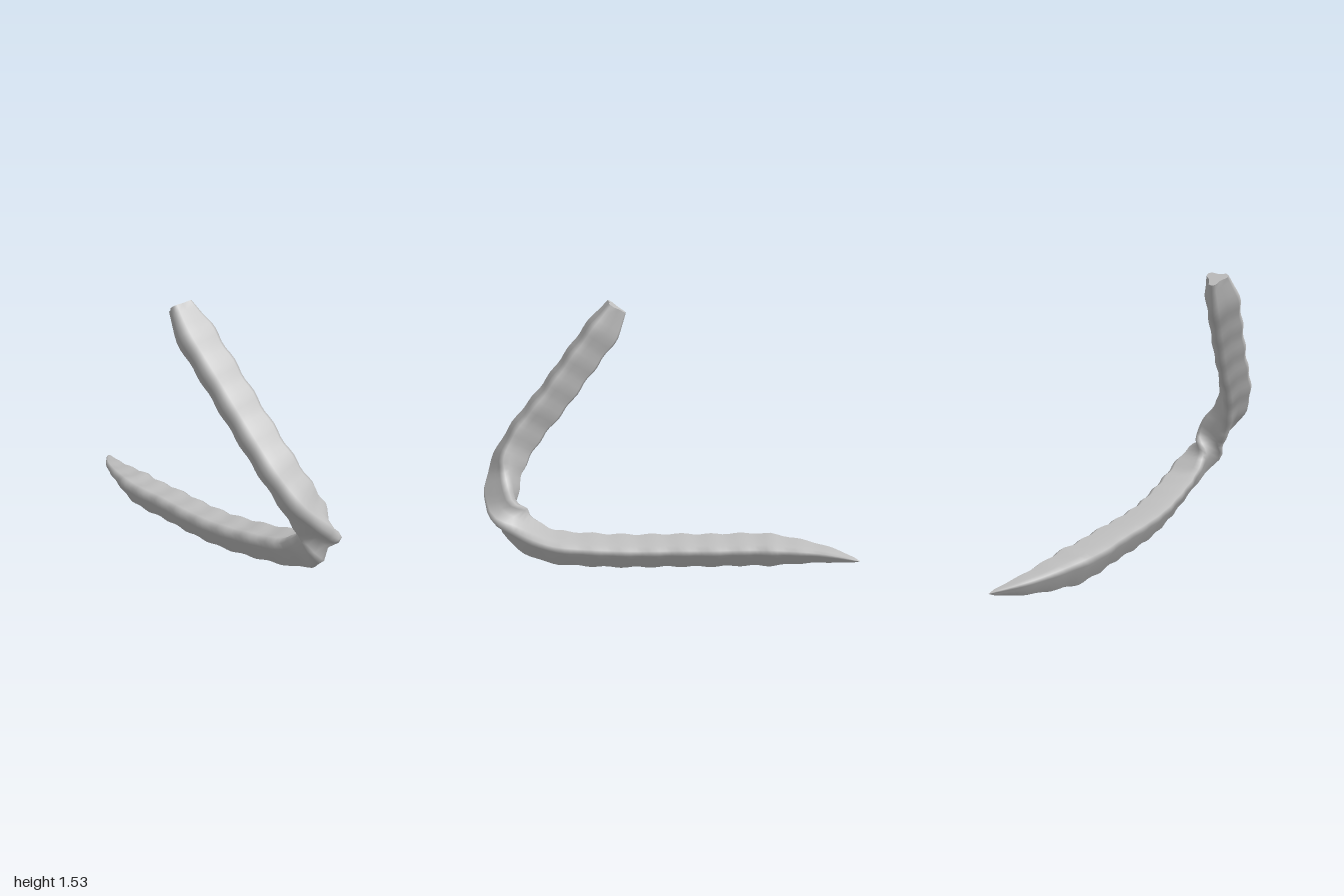
import * as THREE from 'three';

// Centre line, from the blunt upper end round the bend to the pointed tip
const PATH = [
  [-0.22, 1.5, 0.425], [-0.175, 1.39, 0.485], [-0.07, 1.2, 0.6], [0.035, 1.01, 0.715],
  [0.15, 0.81, 0.845], [0.25, 0.66, 0.895], [0.36, 0.5, 0.86], [0.385, 0.39, 0.805],
  [0.375, 0.31, 0.715], [0.325, 0.24, 0.6], [0.19, 0.185, 0.4], [0.055, 0.15, 0.2],
  [-0.065, 0.135, 0], [-0.17, 0.125, -0.2], [-0.285, 0.115, -0.4], [-0.365, 0.11, -0.6],
  [-0.42, 0.105, -0.8], [-0.435, 0.1, -1],
].map((p) => new THREE.Vector3(...p));

const RINGS = 100;
const BUMPS = 20;

// Three-ridged cross-section: bevelled ridges with a groove between each pair
function sectionPoints() {
  const points = [];
  for (let k = 0; k < 3; k++) {
    for (const [deg, r] of [[-18, 0.097], [0, 0.107], [18, 0.097], [60, 0.058]]) {
      const a = THREE.MathUtils.degToRad(-90 + k * 120 + deg);
      points.push([Math.cos(a) * r, Math.sin(a) * r]);
    }
  }
  return points;
}

// Narrow start, lightly beaded middle, long taper to the tip
function scaleAt(t) {
  const start = THREE.MathUtils.lerp(0.56, 1, THREE.MathUtils.smoothstep(t, -0.01, 0.04));
  const tip = Math.pow(Math.min(1, (1 - t) / 0.15), 0.7);
  const bead = 1 + 0.045 * Math.cos(t * BUMPS * Math.PI * 2);
  return start * tip * bead;
}

function makeRings() {
  const curve = new THREE.CatmullRomCurve3(PATH, false, 'centripetal');
  const section = sectionPoints();
  const upperFacing = new THREE.Vector3(0.37, 0.6, 0.7);
  const lowerFacing = new THREE.Vector3(0, 1, 0);
  const rings = [];
  for (let i = 0; i <= RINGS; i++) {
    const t = i / RINGS;
    const centre = curve.getPointAt(t);
    const tangent = curve.getTangentAt(t);
    // The broad face turns from forward to upward through the bend
    const facing = upperFacing.clone().lerp(lowerFacing, THREE.MathUtils.smoothstep(t, 0.2, 0.5));
    facing.addScaledVector(tangent, -facing.dot(tangent)).normalize();
    const side = new THREE.Vector3().crossVectors(facing, tangent);
    const s = scaleAt(t);
    rings.push(section.map(([u, v]) =>
      centre.clone().addScaledVector(side, u * s).addScaledVector(facing, v * s)));
  }
  return rings;
}

// Smooth skin over the rings
function skinGeometry(rings) {
  const n = rings[0].length;
  const index = [];
  for (let i = 0; i < RINGS; i++) {
    for (let j = 0; j < n; j++) {
      const k = (j + 1) % n;
      const [a, b, c, d] = [i * n + j, i * n + k, (i + 1) * n + k, (i + 1) * n + j];
      index.push(a, b, c);
      if (i < RINGS - 1) index.push(a, c, d);
    }
  }
  const geometry = new THREE.BufferGeometry().setFromPoints(rings.flat());
  geometry.setIndex(index);
  geometry.computeVertexNormals();
  return geometry;
}

// Flat cap on the blunt end
function capGeometry(ring) {
  const centre = new THREE.Vector3();
  ring.forEach((p) => centre.addScaledVector(p, 1 / ring.length));
  const index = ring.flatMap((p, j) => [0, ((j + 1) % ring.length) + 1, j + 1]);
  const geometry = new THREE.BufferGeometry().setFromPoints([centre, ...ring]);
  geometry.setIndex(index);
  geometry.computeVertexNormals();
  return geometry;
}

export function createModel() {
  const group = new THREE.Group();
  group.name = 'ridgedStemModel';
  const grey = new THREE.MeshStandardMaterial({ color: 0xc0c0c0 });
  grey.name = 'light grey';
  const rings = makeRings();
  const stem = new THREE.Mesh(skinGeometry(rings), grey);
  stem.name = 'ridgedStem';
  const cap = new THREE.Mesh(capGeometry(rings[0]), grey);
  cap.name = 'endCap';
  group.add(stem, cap);
  return group;
}
